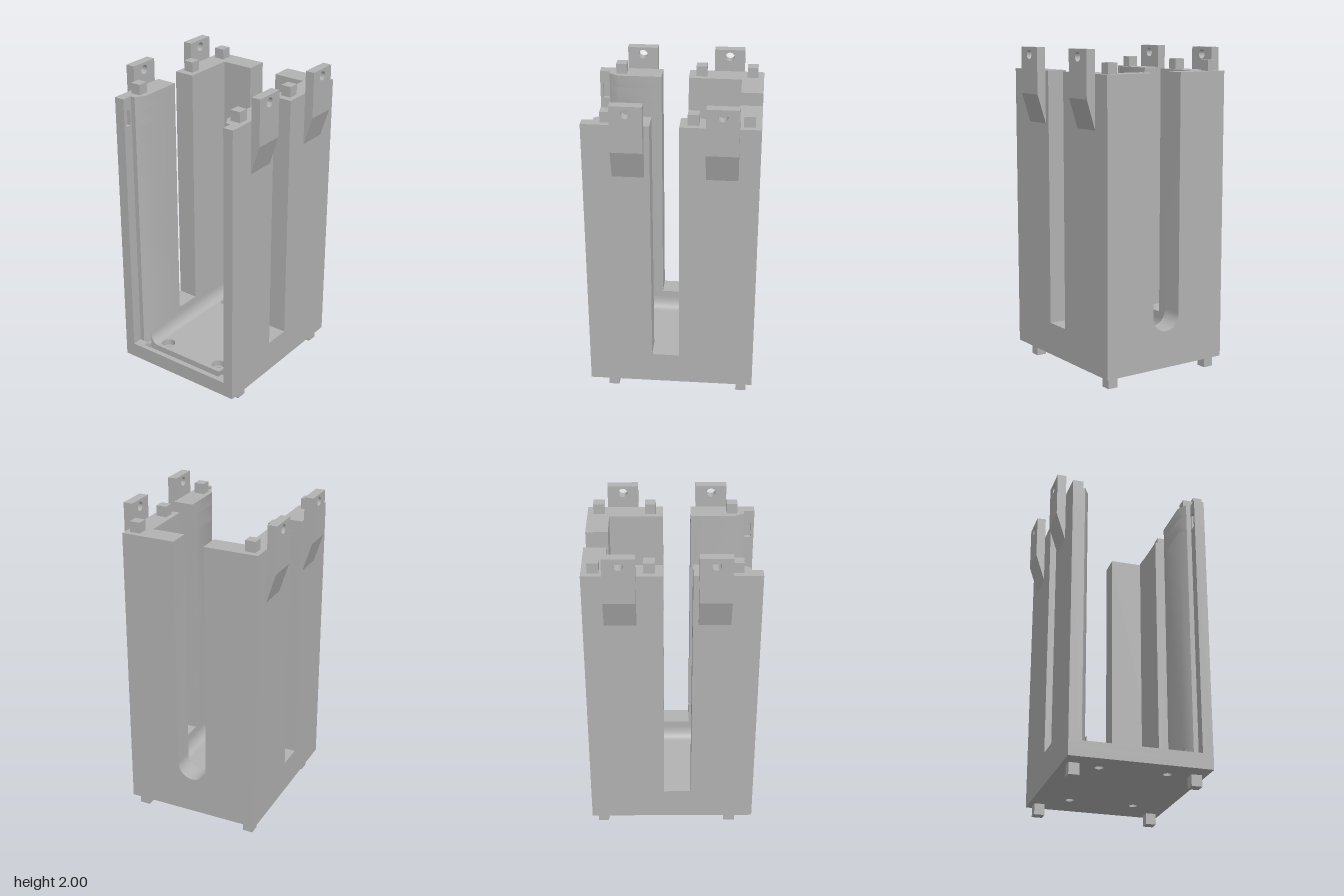
import * as THREE from 'three';
import { toCreasedNormals } from 'three/addons/utils/BufferGeometryUtils.js';

const BOTTOM = 0.07, FLOOR = 0.15, TOP = 1.86;
const X = 0.515, Z = 0.43; // outer half sizes

export function createModel() {
  const group = new THREE.Group();
  const grey = new THREE.MeshStandardMaterial({ color: 0xb2b2b2 });
  grey.name = 'plain grey';

  const add = (name, geometry) => {
    const mesh = new THREE.Mesh(geometry, grey);
    mesh.name = name;
    group.add(mesh);
    return mesh;
  };
  const box = (name, x0, x1, y0, y1, z0, z1) =>
    add(name, new THREE.BoxGeometry(x1 - x0, y1 - y0, Math.abs(z1 - z0))
      .translate((x0 + x1) / 2, (y0 + y1) / 2, (z0 + z1) / 2));
  const polygon = (pts) => new THREE.Shape(pts.map(([a, b]) => new THREE.Vector2(a, b)));
  const extrude = (shape, depth) => toCreasedNormals(
    new THREE.ExtrudeGeometry(shape, { depth, bevelEnabled: false, curveSegments: 24 }), 0.6);
  // plan shape (x, -z) raised from y0 to y1
  const raise = (name, shape, y0, y1) =>
    add(name, extrude(shape, y1 - y0).rotateX(-Math.PI / 2).translate(0, y0, 0));
  // side shape (-z, y) run from x0 to x1
  const runX = (name, shape, x0, x1) =>
    add(name, extrude(shape, x1 - x0).rotateY(Math.PI / 2).translate(x0, 0, 0));
  const circle = (x, y, r) => new THREE.Path().absarc(x, y, r, 0, Math.PI * 2, true);

  // Base plate with screw holes, counterbores and a groove along the open side
  const plan = (holeRadius) => {
    const shape = polygon([[-X, -Z], [X, -Z], [X, Z], [-X, Z]]);
    for (const x of [-0.357, 0.286])
      for (const z of [-0.205, 0.205]) shape.holes.push(circle(x, z, holeRadius));
    return shape;
  };
  raise('basePlate', plan(0.026), BOTTOM, 0.11);
  const floor = plan(0.043);
  floor.holes.push(new THREE.Path([[-0.485, -0.3], [-0.485, 0.3], [-0.42, 0.3], [-0.42, -0.3]]
    .map(([a, b]) => new THREE.Vector2(a, b))));
  raise('floor', floor, 0.11, FLOOR);
  box('doorSill', -X, -0.485, FLOOR, 0.165, -0.365, 0.365);

  // End wall with a round-bottomed slot
  const r = 0.095, slotY = 0.395;
  const endWall = new THREE.Shape();
  endWall.moveTo(-Z, FLOOR);
  endWall.lineTo(Z, FLOOR);
  endWall.lineTo(Z, TOP);
  endWall.lineTo(r, TOP);
  endWall.lineTo(r, slotY);
  endWall.absarc(0, slotY, r, 0, -Math.PI, true);
  endWall.lineTo(-r, TOP);
  endWall.lineTo(-Z, TOP);
  endWall.closePath();
  runX('endWall', endWall, 0.38, X);

  // Curve between floor and walls, from the wall at u = 0 inwards
  const filletShape = (wall, dir) => {
    const pts = [[wall, FLOOR]];
    for (let i = 0; i <= 10; i++) {
      const a = (i / 10) * Math.PI / 2;
      pts.push([wall - dir * 0.05 * (1 - Math.sin(a)), FLOOR + 0.08 * (1 - Math.cos(a))]);
    }
    return polygon(pts);
  };
  add('endFillet', extrude(filletShape(0.38, 1), 0.6).translate(0, 0, -0.3));

  for (const s of [-1, 1]) {
    const side = s > 0 ? 'front' : 'back';

    // Side wall: door post with guide channel and latch pocket, slot sill, corner post
    const post = (notch) => polygon([
      [-X, Z], [-0.12, Z], [-0.12, 0.3], [-0.39, 0.3], [-0.45, 0.335], [-0.45, 0.365],
      ...(notch ? [[-0.46, 0.365], [-0.46, 0.39], [-0.497, 0.39], [-0.497, 0.365]] : []),
      [-X, 0.365],
    ].map(([x, z]) => [x, -s * z]));
    raise(side + 'DoorPost', post(false), FLOOR, 1.68);
    raise(side + 'LatchPocket', post(true), 1.68, 1.78);
    raise(side + 'DoorPostTop', post(false), 1.78, TOP);
    box(side + 'SlotSill', -0.12, 0.05, FLOOR, 0.275, s * 0.3, s * Z);
    box(side + 'CornerPost', 0.05, 0.38, FLOOR, TOP, s * 0.3, s * Z);
    box(side + 'ChannelFoot', -X, -0.45, FLOOR, 0.165, s * 0.3, s * 0.365);
    runX(side + 'Fillet', filletShape(-s * 0.3, -s), -0.42, 0.38);

    // Stacking pegs
    for (const x of [-0.373, 0.128, 0.445]) {
      box(side + 'TopPeg', x - 0.033, x + 0.033, TOP, 1.925, s * 0.333, s * 0.398);
      if (x !== 0.128) box(side + 'Foot', x - 0.033, x + 0.033, 0, BOTTOM, s * 0.333, s * 0.398);
    }

    // Drilled tabs on tapering roots
    for (const x of [-0.247, 0.298]) {
      const w = 0.094;
      const plate = polygon([[x - w, 1.715], [x + w, 1.715], [x + w, 2], [x - w, 2]]);
      plate.holes.push(circle(x, 1.955, 0.028));
      add(side + 'Tab', extrude(plate, 0.057).translate(0, 0, s > 0 ? Z : -Z - 0.057));
      runX(side + 'TabRoot',
        polygon([[-s * Z, 1.535], [-s * 0.487, 1.715], [-s * Z, 1.715]]), x - w, x + w);
    }
  }
  return group;
}
